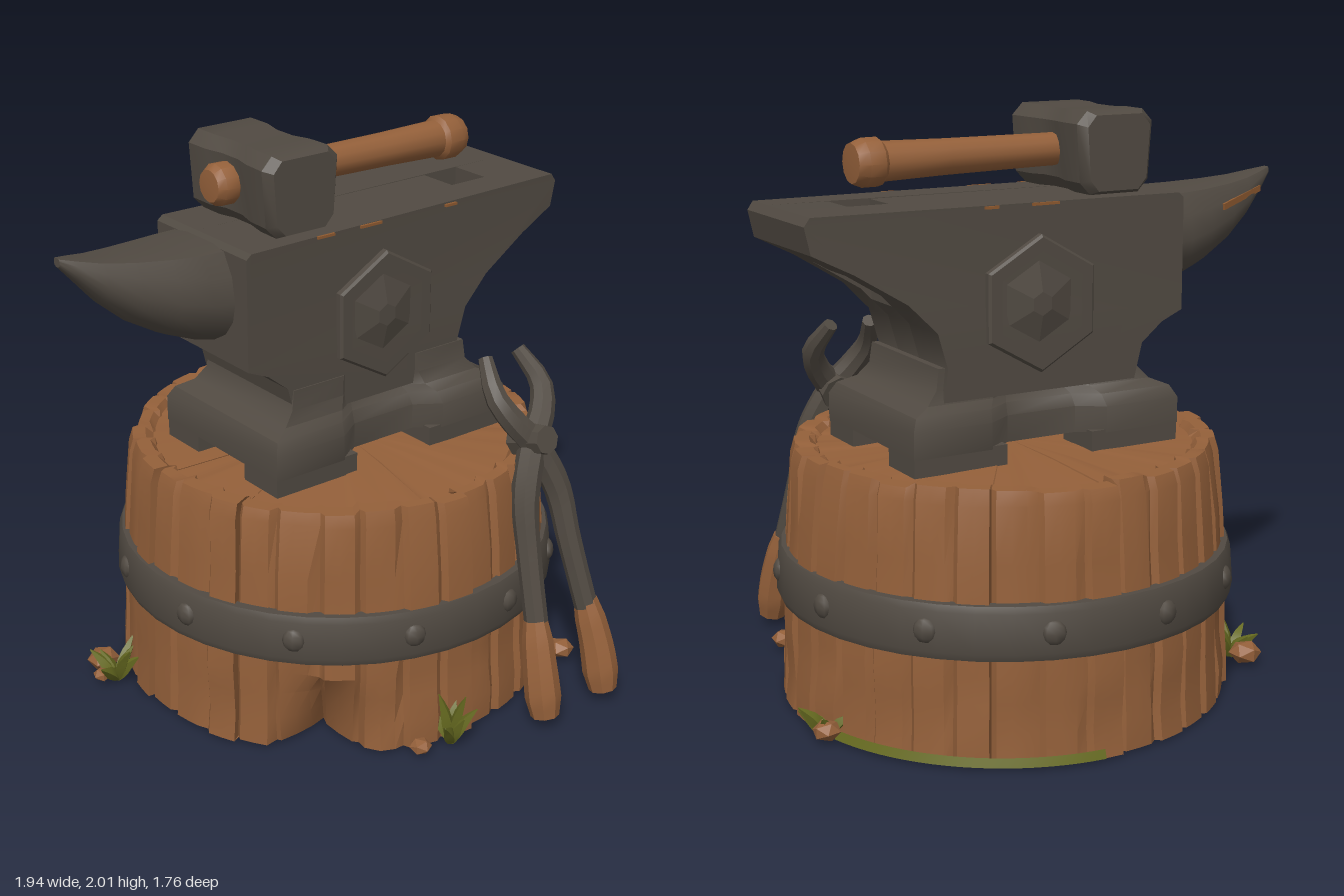
import * as THREE from 'three';
import { toCreasedNormals } from 'three/addons/utils/BufferGeometryUtils.js';

const V = (x, y, z) => new THREE.Vector3(x, y, z);
const paint = (name, color, side = THREE.FrontSide) => {
  const m = new THREE.MeshStandardMaterial({ color, side });
  m.name = name;
  return m;
};

// Skin a list of rings, each counter-clockwise about the sweep direction, and cap both ends
function loft(rings) {
  const n = rings[0].length, pos = [], idx = [];
  rings.forEach(r => r.forEach(p => pos.push(p.x, p.y, p.z)));
  for (let i = 0; i < rings.length - 1; i++)
    for (let j = 0; j < n; j++) {
      const a = i * n + j, b = i * n + (j + 1) % n;
      idx.push(a, b, b + n, a, b + n, a + n);
    }
  [0, rings.length - 1].forEach((r, end) => {
    const c = rings[r].reduce((s, p) => s.add(p), V(0, 0, 0)).divideScalar(n);
    const k = pos.push(c.x, c.y, c.z) / 3 - 1;
    for (let j = 0; j < n; j++) {
      const a = r * n + j, b = r * n + (j + 1) % n;
      idx.push(k, end ? a : b, end ? b : a);
    }
  });
  const g = new THREE.BufferGeometry();
  g.setAttribute('position', new THREE.Float32BufferAttribute(pos, 3));
  g.setIndex(idx);
  return g;
}

// Capped tube along a smooth path, with radii spread evenly over its length
function limb(points, radii, sides = 8, steps = 12) {
  const curve = new THREE.CatmullRomCurve3(points.map(p => V(...p)));
  const f = curve.computeFrenetFrames(steps);
  const rings = [];
  for (let i = 0; i <= steps; i++) {
    const t = i / steps * (radii.length - 1), k = Math.min(Math.floor(t), radii.length - 2);
    const r = THREE.MathUtils.lerp(radii[k], radii[k + 1], t - k), c = curve.getPointAt(i / steps);
    rings.push(Array.from({ length: sides }, (_, j) => {
      const a = j / sides * Math.PI * 2;
      return c.clone().addScaledVector(f.normals[i], r * Math.cos(a)).addScaledVector(f.binormals[i], r * Math.sin(a));
    }));
  }
  return loft(rings);
}

export function createModel() {
  const model = new THREE.Group();
  const iron = paint('iron', 0x514a42);
  const wood = paint('wood', 0x94603a);
  const wear = paint('wornEdge', 0x8f5a30);
  const leaf = paint('leaf', 0x666a20, THREE.DoubleSide);
  let seed = 7;
  const rnd = () => (seed = (seed * 16807) % 2147483647) / 2147483647;
  const add = (name, geo, mat, parent = model, crease = 0.6) => {
    const m = new THREE.Mesh(toCreasedNormals(geo, crease), mat);
    m.name = name;
    parent.add(m);
    return m;
  };
  const CX = 0.115, CZ = -0.1;

  // Stump: uneven staves with grooves, a cleft at the front foot, a sunken top
  const staves = Array.from({ length: 34 }, () => [rnd() - 0.5, rnd() - 0.5, rnd() - 0.5]);
  const layers = [[0, 0.775], [0.1, 0.77], [0.2, 0.765], [0.29, 0.765], [0.45, 0.76], [0.65, 0.745], [0.84, 0.73],
    [0.885, 0.715], [0.885, 0.665], [0.862, 0.645], [0.872, 0.33]];
  add('stump', loft(layers.map(([y, r], l) => {
    const ring = [];
    staves.forEach(([s, t, u], i) => [0.02, 0.14, 0.5, 0.86].forEach((q, k) => {
      const a = (i + q + s * 0.25) / staves.length * Math.PI * 2;
      const side = l < 9 ? 1 : 0.3;
      let rr = r + side * (s * 0.025 + t * 0.02 * Math.sin(l * 1.7) - (k === 0 ? 0.02 : 0));
      const d = Math.abs(Math.atan2(Math.sin(a + 0.73), Math.cos(a + 0.73)));
      if (y < 0.28) rr -= Math.max(0, 1 - d / 0.24) * 0.2 * (1 - y / 0.3);
      const h = l === 7 || l === 8 ? y + u * 0.022 : l > 8 ? y + u * 0.008 : y;
      ring.push(V(CX + rr * Math.sin(a), h, CZ + rr * Math.cos(a)));
    }));
    return ring;
  })), wood, model, 0.45);

  // Iron band with rivets
  const band = new THREE.Group();
  band.name = 'band';
  band.position.set(CX, 0, CZ);
  model.add(band);
  add('hoop', new THREE.LatheGeometry([[0.74, 0.355], [0.785, 0.355], [0.795, 0.38], [0.785, 0.51], [0.775, 0.532], [0.74, 0.532]]
    .map(p => new THREE.Vector2(...p)), 40), iron, band);
  for (let i = 0; i < 12; i++) {
    const a = (i + 0.4) / 12 * Math.PI * 2;
    const rivet = add('rivet', new THREE.SphereGeometry(0.042, 8, 6), iron, band, 1);
    rivet.position.set(Math.sin(a) * 0.782, 0.445, Math.cos(a) * 0.782);
    rivet.rotation.y = a;
    rivet.scale.z = 0.6;
  }

  // Anvil foot: flared block standing on four pads
  const anvil = new THREE.Group();
  anvil.name = 'anvil';
  model.add(anvil);
  const half = [[-0.505, 0.325], [-0.22, 0.325], [-0.13, 0.265], [0.13, 0.265], [0.22, 0.325], [0.505, 0.325]];
  const plan = half.concat(half.map(([x, z]) => [-x, -z]));
  add('foot', loft([[0.93, 1, 1], [1.02, 1, 1], [1.06, 0.96, 0.93], [1.085, 0.84, 0.82], [1.13, 0.76, 0.77], [1.2, 0.74, 0.76]]
    .map(([y, sx, sz]) => plan.map(([x, z]) => V(CX + x * sx, y, -0.088 + z * sz)))), iron, anvil);
  for (const sx of [-1, 1]) for (const sz of [-1, 1])
    add('pad', new THREE.BoxGeometry(0.34, 0.07, 0.185), iron, anvil).position.set(CX + sx * 0.333, 0.905, -0.088 + sz * 0.23);

  // Anvil body in three slices, the middle one parted by the square hole in the heel
  const under = [[-0.25, 1.09], [0.48, 1.09], [0.465, 1.2], [0.5, 1.32]];
  const heel = [[0.78, 1.53], [0.92, 1.6], [0.94, 1.69], [0.92, 1.718]];
  const front = [[-0.42, 1.712], [-0.44, 1.695], [-0.44, 1.31], [-0.36, 1.275], [-0.28, 1.21]];
  const slice = (pts, z0, z1) => {
    const g = new THREE.ExtrudeGeometry(new THREE.Shape(pts.map(p => new THREE.Vector2(...p))), { depth: z1 - z0, bevelEnabled: false });
    g.translate(0, 0, z0);
    const p = g.attributes.position;
    for (let i = 0; i < p.count; i++) {
      const dz = p.getZ(i) + 0.1;
      if (Math.abs(dz) > 0.2) p.setZ(i, -0.1 + dz * (1 - Math.max(0, p.getX(i) - 0.5) * 0.25));
    }
    add('body', g, iron, anvil);
  };
  const full = [...under, [0.6, 1.42], ...heel, ...front];
  slice(full, 0.005, 0.155);
  slice(full, -0.355, -0.15);
  slice([...under, [0.56, 1.38], [0.56, 1.714], ...front], -0.15, 0.005);
  slice([[0.71, 1.49], ...heel, [0.71, 1.716]], -0.15, 0.005);

  // Horn: flat-topped taper with a worn streak near the tip
  const horn = loft([[-0.42, 1.7, 1.35, 0.2], [-0.52, 1.7, 1.375, 0.195], [-0.62, 1.703, 1.415, 0.17], [-0.74, 1.71, 1.485, 0.13],
    [-0.84, 1.72, 1.57, 0.09], [-0.92, 1.735, 1.66, 0.05], [-0.97, 1.745, 1.715, 0.018]].map(([x, top, low, w]) =>
    Array.from({ length: 16 }, (_, j) => {
      const a = j / 16 * Math.PI * 2, s = Math.sin(a);
      const y = s > 0 ? Math.min(1, s * 1.35) : s;
      return V(x, (top + low) / 2 + y * (top - low) / 2, -0.11 + w * Math.cos(a));
    })));
  add('horn', horn, iron, anvil, 0.7);
  const streak = add('hornWear', new THREE.BoxGeometry(0.24, 0.022, 0.008), wear, anvil);
  streak.position.set(-0.79, 1.655, -0.213);
  streak.rotation.set(0, 0.38, -0.18);

  // Worn patches along the anvil's top edges
  for (const [x, z, w] of [[-0.12, 0.153, 0.07], [0.07, 0.153, 0.09], [0.42, 0.153, 0.05], [0.1, -0.353, 0.1], [0.3, -0.353, 0.05]])
    add('edgeWear', new THREE.BoxGeometry(w, 0.009, 0.009), wear, anvil).position.set(x, 1.71, z);

  // Plain hexagonal plaques on both faces
  const hex = r => Array.from({ length: 6 }, (_, i) => new THREE.Vector2(r * Math.sin(i * Math.PI / 3), r * Math.cos(i * Math.PI / 3)));
  for (const s of [1, -1]) {
    const plaque = new THREE.Group();
    plaque.name = 'plaque';
    plaque.position.set(0.125, 1.385, -0.1 + s * 0.25);
    plaque.rotation.y = s > 0 ? 0 : Math.PI;
    anvil.add(plaque);
    const frame = new THREE.Shape(hex(0.22));
    frame.holes.push(new THREE.Path(hex(0.175)));
    add('plaqueFrame', new THREE.ExtrudeGeometry(frame, { depth: 0.02, bevelSize: 0.008, bevelThickness: 0.008, bevelSegments: 1 }), iron, plaque);
    add('plaqueCentre', new THREE.CylinderGeometry(0.04, 0.14, 0.025, 6).rotateX(Math.PI / 2), iron, plaque, 0.1).position.z = 0.015;
  }

  // Hammer: chamfered head pinched at the middle, turned handle through it
  const hammer = new THREE.Group();
  hammer.name = 'hammer';
  model.add(hammer);
  const block = [[1, -0.7], [1, 0.7], [0.72, 1], [-0.72, 1], [-1, 0.7], [-1, -0.7], [-0.72, -1], [0.72, -1]];
  add('hammerHead', loft([[-0.345, 0.115, 0.125], [-0.315, 0.14, 0.138], [-0.22, 0.14, 0.138], [-0.15, 0.122, 0.135], [-0.06, 0.122, 0.135],
    [0.01, 0.14, 0.138], [0.1, 0.145, 0.138], [0.13, 0.12, 0.125]].map(([z, w, h]) =>
    block.map(([x, y]) => V(-0.185 + x * w * (1 + y * 0.07), 1.858 + y * h, z)))), iron, hammer);
  const handle = add('hammerHandle', new THREE.LatheGeometry([[0, -0.54], [0.055, -0.535], [0.072, -0.51], [0.072, -0.46], [0.056, -0.44],
    [0.056, -0.16], [0.06, 0.2], [0.066, 0.43], [0.08, 0.445], [0.08, 0.5], [0.066, 0.535], [0, 0.54]]
    .map(p => new THREE.Vector2(...p)), 12), wood, hammer);
  handle.position.set(0.15, 1.855, -0.125);
  handle.rotation.z = -Math.PI / 2 - 0.01;

  // Tongs leaning on the stump: mirrored grips, arms and jaws around a pivot
  const tongs = new THREE.Group();
  tongs.name = 'tongs';
  tongs.position.x = 0.465;
  model.add(tongs);
  for (const s of [-1, 1]) {
    const k = s > 0 ? 1.2 : 1;
    add('tongGrip', limb([[s * 0.13 * k, 0.03, 0.815], [s * 0.125 * k, 0.2, 0.775], [s * 0.11 * k, 0.365, 0.725]],
      [0.05, 0.064, 0.062, 0.058, 0.054, 0.042], 8, 10), wood, tongs);
    add('tongArm', limb([[s * 0.11 * k, 0.33, 0.735], [s * 0.095, 0.6, 0.66], [s * 0.075, 0.78, 0.61], [0, 0.95, 0.56],
      [-s * 0.075, 1.05, 0.52], [-s * 0.105, 1.12, 0.475], [-s * 0.075, 1.225, 0.385]],
      [0.042, 0.042, 0.044, 0.05, 0.05, 0.042, 0.026], 8, 20), iron, tongs);
  }
  const pivot = add('tongPivot', new THREE.CylinderGeometry(0.05, 0.065, 0.14, 8), iron, tongs);
  pivot.position.set(0, 0.965, 0.56);
  pivot.rotation.x = Math.PI / 2 - 0.3;

  // Grass tufts
  for (const [x, z, n, h] of [[0, 0.7, 8, 0.21], [-0.69, -0.35, 7, 0.16], [0.88, -0.27, 6, 0.11]])
    for (let i = 0; i < n; i++) {
      const a = i / n * Math.PI * 2 + rnd(), l = 0.05 + rnd() * 0.06, t = h * (0.55 + rnd() * 0.45);
      const dx = Math.sin(a) * l, dz = Math.cos(a) * l;
      add('grassBlade', limb([[x, 0, z], [x + dx * 0.5, t * 0.6, z + dz * 0.5], [x + dx, t, z + dz]], [0.014, 0.026, 0.018, 0.002], 4, 5), leaf);
    }

  // Moss along the back of the stump's foot
  add('moss', new THREE.CylinderGeometry(0.782, 0.792, 0.03, 20, 1, true, 1.85, 1.2), leaf).position.set(CX, 0.016, CZ);

  // Wood chips and pebbles on the ground
  for (const [x, y, z, r] of [[-0.69, 0.04, -0.44, 0.06], [-0.74, 0.025, -0.37, 0.035], [0.69, 0.035, 0.53, 0.05], [0.9, 0.035, -0.31, 0.05], [-0.12, 0.02, 0.68, 0.04]]) {
    const chip = add('woodChip', new THREE.IcosahedronGeometry(r, 0), wood, model, 0.1);
    chip.position.set(x, y, z);
    chip.scale.y = 0.7;
    chip.rotation.y = x * 9;
  }
  return model;
}
